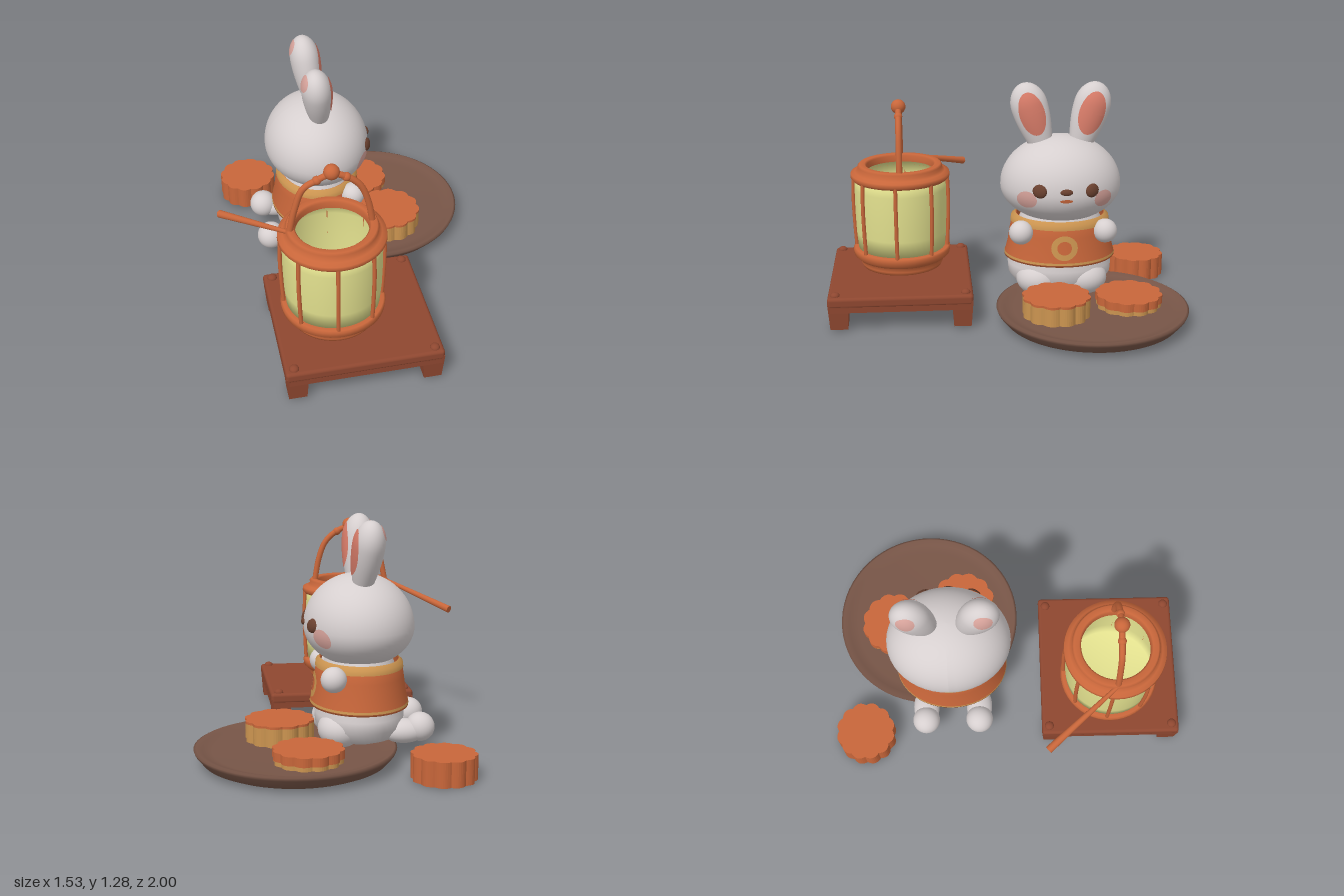
import * as THREE from 'three';
import { RoundedBoxGeometry } from 'three/addons/geometries/RoundedBoxGeometry.js';

const paint = (name, color, side = THREE.FrontSide) => {
  const m = new THREE.MeshStandardMaterial({ color, side });
  m.name = name;
  return m;
};

export function createModel() {
  const fur = paint('fur', 0xd6cfcf);
  const orange = paint('burntOrange', 0xc8663a, THREE.DoubleSide);
  const wood = paint('redWood', 0x8e4730);
  const glow = paint('lanternGlow', 0xe2e08e, THREE.DoubleSide);
  const tan = paint('tanPastry', 0xcb9450, THREE.DoubleSide);
  const clay = paint('clayPlate', 0x775547);
  const brown = paint('faceBrown', 0x69402f);
  const pink = paint('earPink', 0xd87c69);
  const blush = paint('blushPink', 0xd7a39b);

  const add = (parent, name, geo, mat, x = 0, y = 0, z = 0) => {
    const mesh = new THREE.Mesh(geo, mat);
    mesh.name = name;
    mesh.position.set(x, y, z);
    parent.add(mesh);
    return mesh;
  };
  const group = (parent, name, x, y, z) => {
    const g = new THREE.Group();
    g.name = name;
    g.position.set(x, y, z);
    parent.add(g);
    return g;
  };
  const lathe = (pts, seg = 48) =>
    new THREE.LatheGeometry(pts.map(([r, y]) => new THREE.Vector2(r, y)), seg);
  const ball = (rx, ry = rx, rz = rx) => new THREE.SphereGeometry(1, 32, 24).scale(rx, ry, rz);
  // Thin patch that follows a surface x = surf(y, z) and faces +x
  const patch = (surf, y0, z0, ry, rz, lift = 0.004, dome = 0, inner = 0.001) => {
    const g = new THREE.RingGeometry(inner, 1, 32, 8);
    const p = g.attributes.position;
    for (let i = 0; i < p.count; i++) {
      const u = p.getX(i), v = p.getY(i);
      const y = y0 + ry * v, z = z0 - rz * u;
      p.setXYZ(i, surf(y, z) + lift + dome * Math.sqrt(Math.max(0, 1 - u * u - v * v)), y, z);
    }
    g.computeVertexNormals();
    return g;
  };

  const root = new THREE.Group();
  root.name = 'rabbitLanternScene';

  // ---- Rabbit, facing +x ----
  const rabbit = group(root, 'rabbit', -0.13, 0, -0.32);

  // Head: fuller above the cheeks than below
  const headY = 0.705, rx = 0.295, rz = 0.343;
  const headRy = y => (y > 0 ? 0.28 : 0.215);
  const headGeo = new THREE.SphereGeometry(1, 48, 36);
  const hp = headGeo.attributes.position;
  for (let i = 0; i < hp.count; i++) {
    const y = hp.getY(i);
    hp.setXYZ(i, hp.getX(i) * rx, y * headRy(y), hp.getZ(i) * rz);
  }
  headGeo.computeVertexNormals();
  const head = group(rabbit, 'headGroup', 0.003, headY, 0);
  add(head, 'head', headGeo, fur);
  const face = (y, z) => rx * Math.sqrt(Math.max(0, 1 - (y / headRy(y)) ** 2 - (z / rz) ** 2));
  add(head, 'nose', patch(face, 0.027, 0, 0.018, 0.035, 0.003, 0.012), brown);
  add(head, 'mouth', patch(face, -0.024, 0, 0.01, 0.036), orange);
  for (const s of [-1, 1]) {
    add(head, 'eye', patch(face, 0.028, s * 0.145, 0.038, 0.038, 0.003, 0.018), brown);
    add(head, 'cheek', patch(face, -0.03, s * 0.212, 0.05, 0.052), blush);
  }

  // Ears: teardrop with a coloured inside
  const earL = 0.38;
  const earR = y => {
    const t = y / earL;
    return t > 0.65 ? 0.104 * Math.sqrt(Math.max(0, 1 - ((t - 0.65) / 0.35) ** 2))
      : 0.06 + 0.044 * Math.sin(Math.PI / 2 * t / 0.65);
  };
  const earPts = [];
  for (let i = 0; i <= 24; i++) {
    const y = earL * Math.sin(Math.PI / 2 * i / 24);
    earPts.push([earR(y), y]);
  }
  const earSurf = (y, z) => 0.8 * Math.sqrt(Math.max(0, earR(y) ** 2 - z * z));
  for (const s of [-1, 1]) {
    const ear = group(rabbit, 'ear', 0.005, 0.915, s * 0.105);
    ear.rotation.set(s * 0.3, 0, 0.1);
    add(ear, 'earShell', lathe(earPts, 32).scale(0.8, 1, 1), fur);
    add(ear, 'earInside', patch(earSurf, 0.205, 0, 0.125, 0.072), pink);
    add(ear, 'earTipSpot', patch(earSurf, 0.322, 0, 0.042, 0.05).rotateY(Math.PI), blush);
  }

  // Body and limbs
  add(rabbit, 'body', lathe([[0, 0.08], [0.15, 0.085], [0.25, 0.12], [0.295, 0.18], [0.3, 0.24],
    [0.275, 0.32], [0.26, 0.45], [0.2, 0.58]]).scale(0.8, 1, 1), fur);
  for (const s of [-1, 1]) {
    add(rabbit, 'hand', ball(0.068), fur, 0.17, 0.465, s * 0.238);
    add(rabbit, 'thigh', ball(0.12, 0.1, 0.13), fur, 0.12, 0.175, s * 0.13);
    add(rabbit, 'hindLeg', ball(0.12, 0.065, 0.075), fur, -0.22, 0.155, s * 0.155);
    add(rabbit, 'hindFoot', ball(0.078), fur, -0.305, 0.175, s * 0.155);
  }

  // Jacket with collar and hem bands
  add(rabbit, 'jacket', lathe([[0.27, 0.275], [0.318, 0.282], [0.316, 0.3], [0.3, 0.36],
    [0.288, 0.44], [0.275, 0.51], [0.25, 0.53]]).scale(0.83, 1, 1), orange);
  add(rabbit, 'collar', lathe([[0.284, 0.488], [0.28, 0.515], [0.255, 0.533]]).scale(0.83, 1, 1), tan);
  add(rabbit, 'hemBand', lathe([[0.3195, 0.292], [0.317, 0.305]]).scale(0.83, 1, 1), tan);
  const chest = (y, z) => 0.83 * Math.sqrt((0.3 - 0.16 * (y - 0.36)) ** 2 - z * z);
  add(rabbit, 'chestRing', patch(chest, 0.39, 0, 0.07, 0.075, 0.005, 0, 0.55), tan);

  // ---- Plate ----
  add(root, 'plate', lathe([[0, 0.004], [0.4, 0.004], [0.44, 0.008], [0.49, 0.03], [0.528, 0.075],
    [0.535, 0.093], [0.522, 0.1], [0.49, 0.088], [0.44, 0.075], [0, 0.07]], 64), clay, 0.23, 0, -0.465);

  // ---- Scalloped cakes ----
  const scallop = (r, lobes = 12) => {
    const pts = [];
    for (let i = 0; i < lobes * 8; i++) {
      const a = i / (lobes * 8) * Math.PI * 2;
      const k = r * (0.92 + 0.08 * Math.abs(Math.sin(a * lobes / 2)));
      pts.push(new THREE.Vector2(k * Math.cos(a), k * Math.sin(a)));
    }
    return pts;
  };
  const cakeLayer = (r, y0, y1, hole) => {
    const shape = new THREE.Shape(scallop(r));
    if (hole) shape.holes.push(new THREE.Path(scallop(hole)));
    return new THREE.ExtrudeGeometry(shape, { depth: y1 - y0, bevelEnabled: false })
      .rotateX(-Math.PI / 2).translate(0, y0, 0);
  };
  const tallCake = group(root, 'tallCake', 0.295, 0, -0.255);
  add(tallCake, 'cakeSide', cakeLayer(0.188, 0.07, 0.174), tan);
  add(tallCake, 'cakeTop', cakeLayer(0.19, 0.174, 0.187), orange);
  const lowCake = group(root, 'lowCake', 0.187, 0, -0.677);
  add(lowCake, 'cakeSide', cakeLayer(0.182, 0.07, 0.098), tan);
  add(lowCake, 'cakeTop', cakeLayer(0.188, 0.098, 0.145), orange);
  const looseCake = group(root, 'looseCake', -0.483, 0, -0.835);
  add(looseCake, 'cakeShell', cakeLayer(0.17, 0.008, 0.125, 0.155), orange);
  add(looseCake, 'cakeTop', cakeLayer(0.17, 0.125, 0.14), orange);

  // ---- Low wooden stand ----
  const stand = group(root, 'stand', -0.12, 0, 0.597);
  const hx = 0.42, hz = 0.398;
  add(stand, 'standTop', new RoundedBoxGeometry(hx * 2, 0.06, hz * 2, 3, 0.018), wood, 0, 0.17, 0);
  for (const s of [-1, 1]) {
    add(stand, 'sideApron', new THREE.BoxGeometry(0.03, 0.06, hz * 2 - 0.03), wood, s * (hx - 0.018), 0.145, 0);
    add(stand, 'endApron', new THREE.BoxGeometry(hx * 2 - 0.03, 0.06, 0.03), wood, 0, 0.145, s * (hz - 0.018));
    for (const t of [-1, 1]) {
      let leg = new THREE.CylinderGeometry(0.083, 0.068, 0.15, 4).rotateY(Math.PI / 4).toNonIndexed();
      leg.computeVertexNormals();
      add(stand, 'standLeg', leg, wood, s * (hx - 0.06), 0.09, t * (hz - 0.06));
      add(stand, 'cornerStud', ball(0.026, 0.02, 0.026), wood, s * 0.372, 0.2, t * 0.356);
    }
  }

  // ---- Lantern ----
  const lantern = group(root, 'lantern', -0.215, 0, 0.59);
  add(lantern, 'lanternPost', new THREE.CylinderGeometry(0.08, 0.08, 0.05, 24), wood, 0, 0.205, 0);
  add(lantern, 'lanternBase', lathe([[0, 0.21], [0.2, 0.21], [0.228, 0.215], [0.237, 0.235], [0.23, 0.26],
    [0.255, 0.265], [0.276, 0.285], [0.28, 0.315], [0.27, 0.325], [0.24, 0.325], [0, 0.325]]), orange);
  add(lantern, 'lanternGlass', lathe([[0, 0.328], [0.25, 0.328], [0.258, 0.42], [0.262, 0.55],
    [0.262, 0.68], [0.255, 0.745], [0.19, 0.775]]), glow);
  add(lantern, 'lanternRim', lathe([[0.25, 0.735], [0.27, 0.73], [0.283, 0.745], [0.28, 0.765],
    [0.255, 0.775], [0.238, 0.785], [0.24, 0.805], [0.23, 0.815], [0.2, 0.815], [0.19, 0.805],
    [0.19, 0.77]]), orange);
  const rib = new THREE.CatmullRomCurve3([[0.262, 0.31], [0.268, 0.42], [0.273, 0.6], [0.268, 0.75]]
    .map(([r, y]) => new THREE.Vector3(0, y, r)));
  for (let i = 0; i < 8; i++) {
    add(lantern, 'lanternRib', new THREE.TubeGeometry(rib, 12, 0.011, 8), orange)
      .rotation.y = i * Math.PI / 4 - 0.09;
  }

  // Arched handle with a knob
  const arch = new THREE.CatmullRomCurve3([[-0.222, 0.79], [-0.19, 0.94], [-0.145, 1.06], [-0.08, 1.1],
    [0, 1.13], [0.08, 1.1], [0.145, 1.04], [0.185, 0.94], [0.212, 0.79]]
    .map(([x, y]) => new THREE.Vector3(x, y, 0)));
  add(lantern, 'handle', new THREE.TubeGeometry(arch, 48, 0.017, 10), orange);
  add(lantern, 'handleKnob', ball(0.041), orange, 0, 1.142, 0);
  for (const x of [-0.075, 0.075]) add(lantern, 'handleBead', ball(0.023), orange, x, 1.102, 0);

  // Carrying stick, thicker at its free end
  const from = new THREE.Vector3(-0.44, 0.8, 0.59), to = new THREE.Vector3(-0.75, 0.675, 0.21);
  const dir = to.clone().sub(from);
  const stick = add(root, 'carryingStick',
    new THREE.CylinderGeometry(0.021, 0.011, dir.length(), 12), orange);
  stick.position.copy(from).add(to).multiplyScalar(0.5);
  stick.quaternion.setFromUnitVectors(new THREE.Vector3(0, 1, 0), dir.normalize());

  return root;
}
